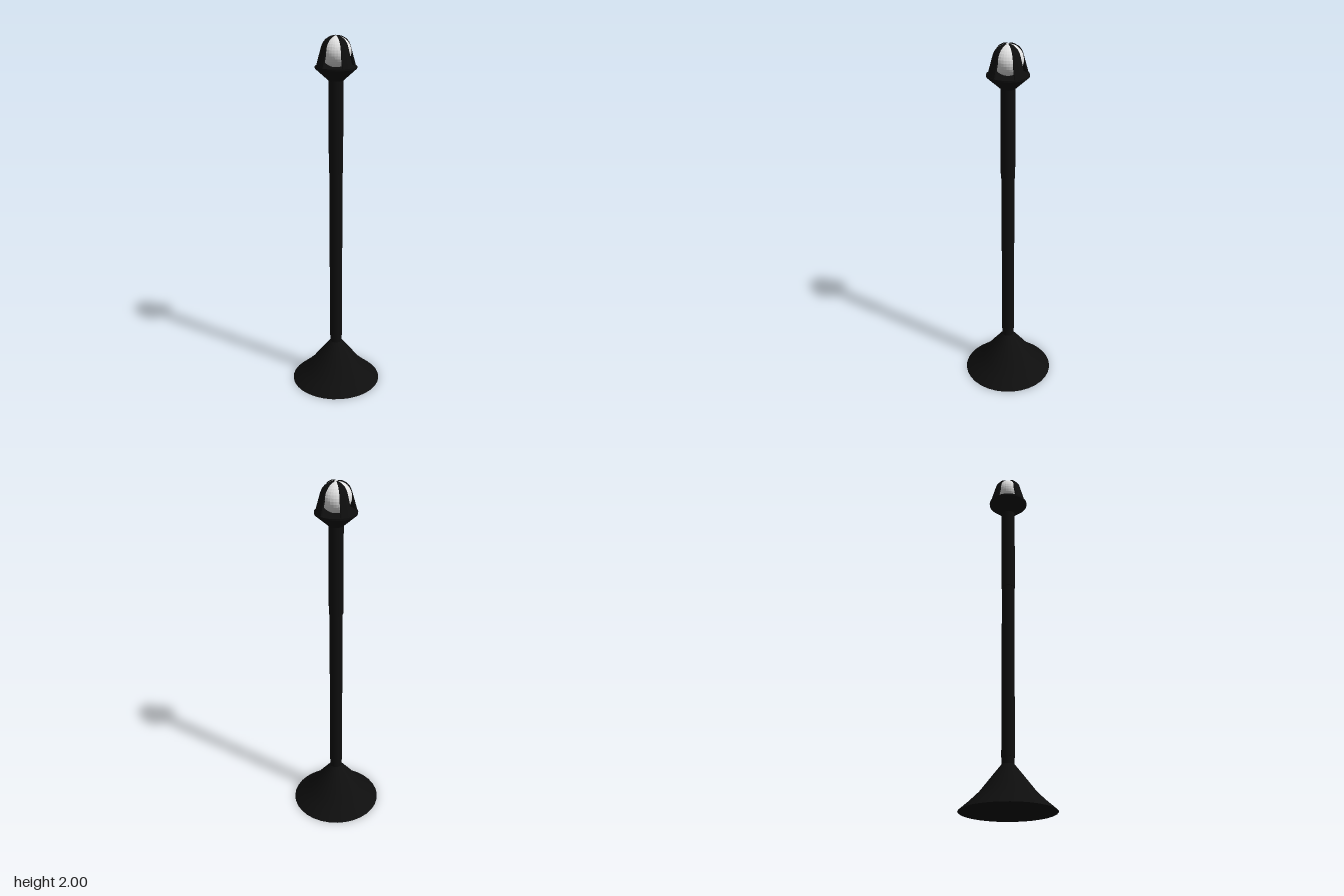
import * as THREE from 'three';
import { mergeGeometries } from 'three/addons/utils/BufferGeometryUtils.js';

const SEGMENTS = 32;
const STEP = (Math.PI * 2) / SEGMENTS;

const toPoints = (list) => list.map(([r, y]) => new THREE.Vector2(r, y));

// Full turned solid; each group of points is smooth, with sharp edges between groups
function turned(...groups) {
  return mergeGeometries(groups.map((g) => new THREE.LatheGeometry(toPoints(g), SEGMENTS)));
}

// Curved strap swept over three steps of the circle, closed at both sides
function strapGeometry(outer, inner, start, steps) {
  const sweep = steps * STEP;
  const parts = [
    new THREE.LatheGeometry(toPoints(outer), steps, start, sweep),
    new THREE.LatheGeometry(toPoints([...inner].reverse()), steps, start, sweep),
  ];
  const section = new THREE.Shape(toPoints([...outer, ...[...inner].reverse()]));
  for (const angle of [start, start + sweep]) {
    parts.push(new THREE.ShapeGeometry(section).rotateY(angle - Math.PI / 2));
  }
  return mergeGeometries(parts);
}

export function createModel() {
  const lamp = new THREE.Group();
  lamp.name = 'lampPost';

  const iron = new THREE.MeshStandardMaterial({ color: 0x0e0e0e, side: THREE.DoubleSide });
  iron.name = 'black iron';
  const glass = new THREE.MeshStandardMaterial({ color: 0xe4e4e4, flatShading: true });
  glass.name = 'white glass';

  const add = (name, geometry, material) => {
    const mesh = new THREE.Mesh(geometry, material);
    mesh.name = name;
    lamp.add(mesh);
    return mesh;
  };

  // Flared foot with a closed underside
  add('base', turned(
    [[0, 0], [0.254, 0]],
    [[0.254, 0], [0.2, 0.047], [0.15, 0.095], [0.09, 0.172], [0.034, 0.243]],
  ), iron);

  // Pole in three slightly widening sections
  const sections = [
    ['poleNeck', 0.033, 0.23, 0.28],
    ['lowerPole', 0.0355, 0.28, 1.27],
    ['upperPole', 0.039, 1.27, 1.775],
  ];
  for (const [name, r, bottom, top] of sections) {
    add(name, new THREE.CylinderGeometry(r, r, top - bottom, SEGMENTS).translate(0, (top + bottom) / 2, 0), iron);
  }

  // Cup that carries the globe
  add('cup', turned(
    [[0.036, 1.766], [0.11, 1.832]],
    [[0.11, 1.832], [0.111, 1.842]],
    [[0.111, 1.842], [0, 1.842]],
  ), iron);

  // Glass globe
  add('globe', new THREE.SphereGeometry(0.08, SEGMENTS, 16).translate(0, 1.917, 0), glass);

  // Four straps bowed over the globe, leaving a small opening at the top
  const outer = [[0.11, 1.841], [0.08, 1.945], [0.072, 1.964], [0.058, 1.981], [0.036, 1.994], [0.011, 2]];
  const inner = [[0.1, 1.841], [0.07, 1.942], [0.063, 1.959], [0.052, 1.973], [0.033, 1.985], [0.011, 1.99]];
  for (let i = 0; i < 4; i++) {
    add('strap' + (i + 1), strapGeometry(outer, inner, -2 * STEP + (i * Math.PI) / 2, 3), iron);
  }

  return lamp;
}
